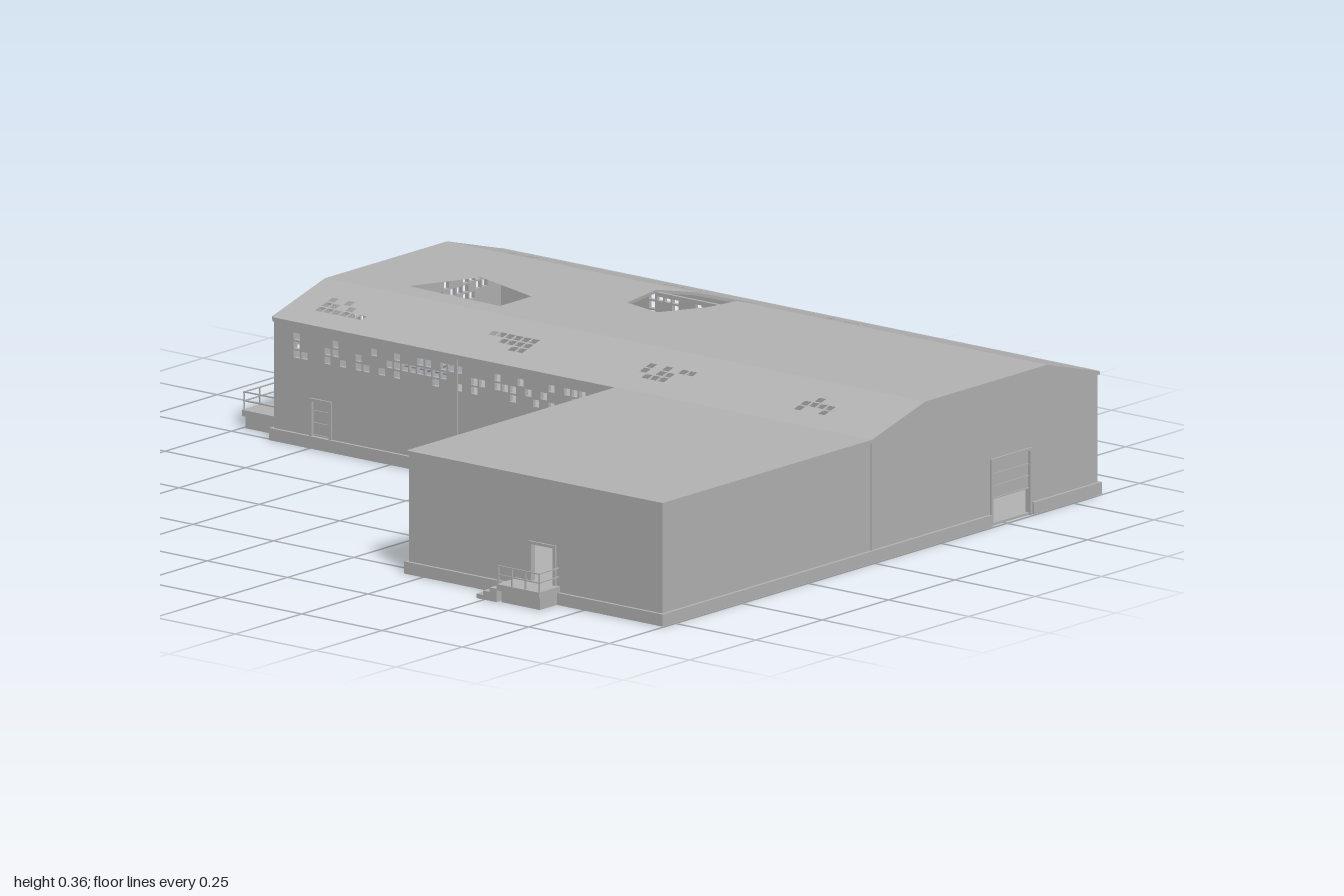
import * as THREE from 'three';

const concrete = new THREE.MeshStandardMaterial({ color: 0xb4b4b4 });
concrete.name = 'grey concrete';

// Hall and wing extents
const XL = -0.785, XR = 0.855, ZB = -0.868, ZN = 0.2, ZF = 0.988, EAVE = 0.305, RIDGE = 0.36, T = 0.01;
const TURN = { front: 0, right: Math.PI / 2, back: Math.PI, left: -Math.PI / 2 };

function roofY(x) {
  if (x <= 0) return EAVE;
  if (x < 0.2) return EAVE + (RIDGE - EAVE) * x / 0.2;
  if (x <= 0.66) return RIDGE;
  return RIDGE - (RIDGE - EAVE) * (x - 0.66) / (XR - 0.66);
}

let seed = 7;
function rand() {
  seed = (seed * 16807) % 2147483647;
  return seed / 2147483647;
}

const rect = (u0, v0, u1, v1) => [[u0, v0], [u1, v0], [u1, v1], [u0, v1]];

// Scattered pane openings on a regular grid
function panes(u0, v0, u1, v1, pitchU, pitchV, chance) {
  const list = [];
  const nu = Math.floor((u1 - u0) / pitchU), nv = Math.max(1, Math.round((v1 - v0) / pitchV));
  for (let i = 0; i < nu; i++) for (let j = 0; j < nv; j++) {
    if (rand() > chance) continue;
    const u = u0 + i * pitchU, v = v0 + j * pitchV;
    list.push(rect(u, v, u + pitchU * 0.8, v + pitchV * 0.8));
  }
  return list;
}

function sheet(outline, holes, depth = T) {
  const toV = pts => pts.map(p => new THREE.Vector2(p[0], p[1]));
  const shape = new THREE.Shape(toV(outline));
  for (const h of holes) shape.holes.push(new THREE.Path(toV(h)));
  return new THREE.ExtrudeGeometry(shape, { depth, bevelEnabled: false });
}

export function createModel() {
  const model = new THREE.Group();
  model.name = 'warehouse';

  function add(parent, name, geo, x = 0, y = 0, z = 0) {
    const mesh = new THREE.Mesh(geo, concrete);
    mesh.name = name;
    mesh.position.set(x, y, z);
    parent.add(mesh);
    return mesh;
  }
  const box = (parent, name, x0, x1, y0, y1, z0, z1) => add(parent, name,
    new THREE.BoxGeometry(x1 - x0, y1 - y0, z1 - z0), (x0 + x1) / 2, (y0 + y1) / 2, (z0 + z1) / 2);

  // Walls: drawn across x, or across z and turned
  const wallX = (name, outline, holes, z) => add(model, name, sheet(outline, holes), 0, 0, z);
  const wallZ = (name, z0, z1, holes, x) =>
    add(model, name, sheet(rect(z0, 0, z1, EAVE - 0.003), holes).rotateY(-Math.PI / 2), x);

  const gable = x0 => {
    const pts = [[x0, 0], [XR, 0], [XR, EAVE], [0.66, RIDGE], [0.2, RIDGE], [0, EAVE]];
    if (x0 < 0) pts.push([x0, EAVE]);
    return pts.map(p => [p[0], p[1] ? p[1] - 0.003 : 0]);
  };
  wallX('frontWall', gable(XL), [rect(0.455, 0.006, 0.6, 0.16)], ZF - T);
  wallX('backWall', gable(0), [rect(0.46, 0.006, 0.77, 0.15), rect(0.055, 0.045, 0.115, 0.135),
    ...panes(0.03, 0.205, 0.83, 0.273, 0.024, 0.022, 0.55)], ZB);
  wallX('wingBackWall', rect(XL, 0, 0, EAVE - 0.003),
    [-0.655, -0.42, -0.18].map(x => rect(x - 0.075, 0.035, x + 0.075, 0.16)), ZN);
  wallZ('rightWall', ZB, ZF, [rect(0.545, 0.035, 0.675, 0.155),
    ...panes(-0.83, 0.215, 0.48, 0.28, 0.024, 0.022, 0.55)], XR);
  wallZ('hallLeftWall', ZB, ZN + T, [rect(-0.75, 0.03, -0.69, 0.12), rect(-0.08, 0.045, -0.01, 0.14),
    ...panes(-0.83, 0.215, 0.18, 0.28, 0.024, 0.022, 0.55)], T);
  wallZ('wingLeftWall', ZN, ZF, [rect(0.58, 0.045, 0.655, 0.14)], XL + T);

  // L-shaped floor
  const floor = [[XL, -ZF], [XR, -ZF], [XR, -ZB], [0, -ZB], [0, -ZN], [XL, -ZN]];
  add(model, 'floor', sheet(floor, [], 0.006).rotateX(-Math.PI / 2));

  // Roof panels follow the roof profile
  function roofPanel(name, outline, holes) {
    const flip = pts => pts.map(p => [p[0], -p[1]]);
    const geo = sheet(flip(outline), holes.map(flip), 0.008).rotateX(-Math.PI / 2);
    const p = geo.attributes.position;
    for (let i = 0; i < p.count; i++) p.setY(i, p.getY(i) - 0.008 + roofY(p.getX(i)));
    geo.computeVertexNormals();
    add(model, name, geo);
  }
  const skylights = (x0, x1, starts) =>
    starts.flatMap(z => panes(x0, z, x1, z + 0.15, 0.024, 0.025, 0.6));
  const zb = ZB - 0.006, zf = ZF + 0.005;
  roofPanel('wingRoof', rect(XL - 0.005, ZN - 0.004, 0, zf), []);
  roofPanel('leftSlopeRoof', rect(0, zb, 0.2, zf), skylights(0.06, 0.134, [-0.79, -0.29, 0.2, 0.7]));
  // Collapsed openings in the ridge and right slope
  roofPanel('ridgeRoof', [[0.2, zb], [0.66, zb], [0.66, -0.106], [0.62, -0.19], [0.48, -0.165],
    [0.455, -0.05], [0.57, 0.012], [0.66, 0.028], [0.66, zf], [0.2, zf]],
    [[[0.27, -0.67], [0.445, -0.59], [0.38, -0.38], [0.26, -0.38]]]);
  roofPanel('rightSlopeRoof', [[0.66, zb], [XR + 0.004, zb], [XR + 0.004, zf], [0.66, zf],
    [0.66, 0.028], [0.73, 0.04], [0.66, -0.106]], skylights(0.725, 0.8, [-0.79, -0.29, 0.2]));
  box(model, 'exposedRoofBeam', 0.617, 0.625, 0.345, 0.355, -0.19, 0.02);

  // Broken sheet sagging into the opening
  const flap = add(model, 'saggingRoofSheet', sheet([[0, 0], [0.1, -0.03], [0.04, 0.12]], [], 0.004)
    .rotateX(-Math.PI / 2), 0.48, 0.335, -0.04);
  flap.rotation.z = -0.15;

  // Plinth, broken at the vehicle doors
  const H = 0.03, P = 0.008;
  for (const [a, b] of [[XL - P, 0.448], [0.607, XR + P]]) box(model, 'frontPlinth', a, b, 0, H, ZF, ZF + P);
  for (const [a, b] of [[-P, 0.445], [0.78, XR + P]]) box(model, 'backPlinth', a, b, 0, H, ZB - P, ZB);
  for (const [a, b] of [[XL - P, -0.74], [-0.57, -0.505], [-0.335, -0.265], [-0.095, 0]])
    box(model, 'wingBackPlinth', a, b, 0, H, ZN - P, ZN);
  box(model, 'rightPlinth', XR, XR + P, 0, H, ZB, ZF);
  box(model, 'hallLeftPlinth', -P, 0, 0, H, ZB, ZN);
  box(model, 'wingLeftPlinth', XL - P, XL, 0, H, ZN, ZF);

  // Eave trim and vertical wall joints
  box(model, 'rightEave', XR, XR + 0.005, 0.295, EAVE, ZB, ZF);
  box(model, 'hallLeftEave', -0.005, 0, 0.295, EAVE, ZB, ZN);
  box(model, 'wingLeftEave', XL - 0.005, XL, 0.295, EAVE, ZN, ZF);
  box(model, 'wingBackEave', XL, 0, 0.295, EAVE, ZN - 0.004, ZN);
  box(model, 'wallJoint', 0, 0.005, H, EAVE, ZF, ZF + 0.003);
  box(model, 'wallJoint', -0.303, -0.298, H, EAVE, ZN - 0.003, ZN);
  for (const z of [0.5, 0.17]) box(model, 'wallJoint', XR, XR + 0.003, H, EAVE, z, z + 0.005);
  box(model, 'wallJoint', -0.003, 0, H, EAVE, -0.3, -0.295);

  function placed(name, side, x, z) {
    const g = new THREE.Group();
    g.name = name;
    g.rotation.y = TURN[side];
    g.position.set(x, 0, z);
    model.add(g);
    return g;
  }

  // Door frame with an optional part-raised shutter
  function door(name, side, x, z, w, y0, y1, shutterY) {
    const g = placed(name, side, x, z), h = w / 2, f = 0.007;
    for (const s of [-1, 1]) add(g, 'jamb', new THREE.BoxGeometry(f, y1 - y0, 0.016), s * h, (y0 + y1) / 2, -0.003);
    box(g, 'lintel', -h - f / 2, h + f / 2, y1 - f / 2, y1 + f / 2, -0.011, 0.005);
    if (shutterY !== undefined) {
      box(g, 'shutter', -h, h, shutterY, y1, -0.008, -0.003);
      for (let y = shutterY; y < y1 - 0.01; y += 0.03) box(g, 'shutterRib', -h, h, y, y + 0.003, -0.004, 0);
    }
    return g;
  }
  door('frontVehicleDoor', 'front', 0.5275, ZF, 0.147, 0, 0.163, 0.065);
  door('backVehicleDoor', 'back', 0.615, ZB, 0.312, 0, 0.15, 0.13);
  door('backAccessDoor', 'back', 0.085, ZB, 0.06, 0.045, 0.135);
  door('hallSideDoor', 'left', 0, -0.72, 0.06, 0.03, 0.12, 0.031);
  door('hallDockDoor', 'left', 0, -0.045, 0.07, 0.045, 0.14);
  door('wingDockDoor', 'left', XL, 0.6175, 0.075, 0.045, 0.14);
  [[-0.655, 0.04], [-0.42, 0.075], [-0.18, 0.05]].forEach(([x, s]) =>
    door('loadingDoor', 'back', x, ZN, 0.152, 0.03, 0.162, s));

  // Right-hand door with a deep surround
  const side = door('rightVehicleDoor', 'right', XR, 0.61, 0.145, 0.03, 0.165, 0.135);
  box(side, 'sideLeaf', -0.07, -0.045, 0.035, 0.15, -0.008, -0.003);
  box(side, 'sideLeaf', 0.03, 0.07, 0.035, 0.15, -0.008, -0.003);
  box(side, 'threshold', -0.07, 0.07, 0.03, 0.048, -0.008, 0);

  // Raised dock with steps and railings
  function dock(name, face, x, z, len, depth) {
    const g = placed(name, face, x, z), h = len / 2, split = -h + len * 0.32, top = 0.045, r = 0.003;
    box(g, 'deck', split, h, 0.03, top, 0, depth);
    box(g, 'dockBase', split + 0.01, h - 0.004, 0, 0.03, 0, depth - 0.008);
    const run = (split + h) / 3;
    for (let i = 0; i < 3; i++) box(g, 'step', -h + i * run, -h + (i + 1) * run, 0, 0.011 * (i + 1), 0, depth);
    for (let i = 0; i < 4; i++) {
      const px = split + r + (h - split - 2 * r) * i / 3;
      box(g, 'railPost', px - r / 2, px + r / 2, top, 0.09, depth - 2 * r, depth - r);
    }
    for (const y of [0.066, 0.088]) {
      box(g, 'frontRail', split, h, y, y + r, depth - 2 * r, depth - r);
      box(g, 'endRail', h - 2 * r, h - r, y, y + r, 0, depth - r);
    }
  }
  dock('backDock', 'back', 0.175, ZB, 0.27, 0.132);
  dock('hallDock', 'left', 0, -0.067, 0.195, 0.07);
  dock('wingDock', 'left', XL, 0.573, 0.195, 0.08);

  return model;
}
